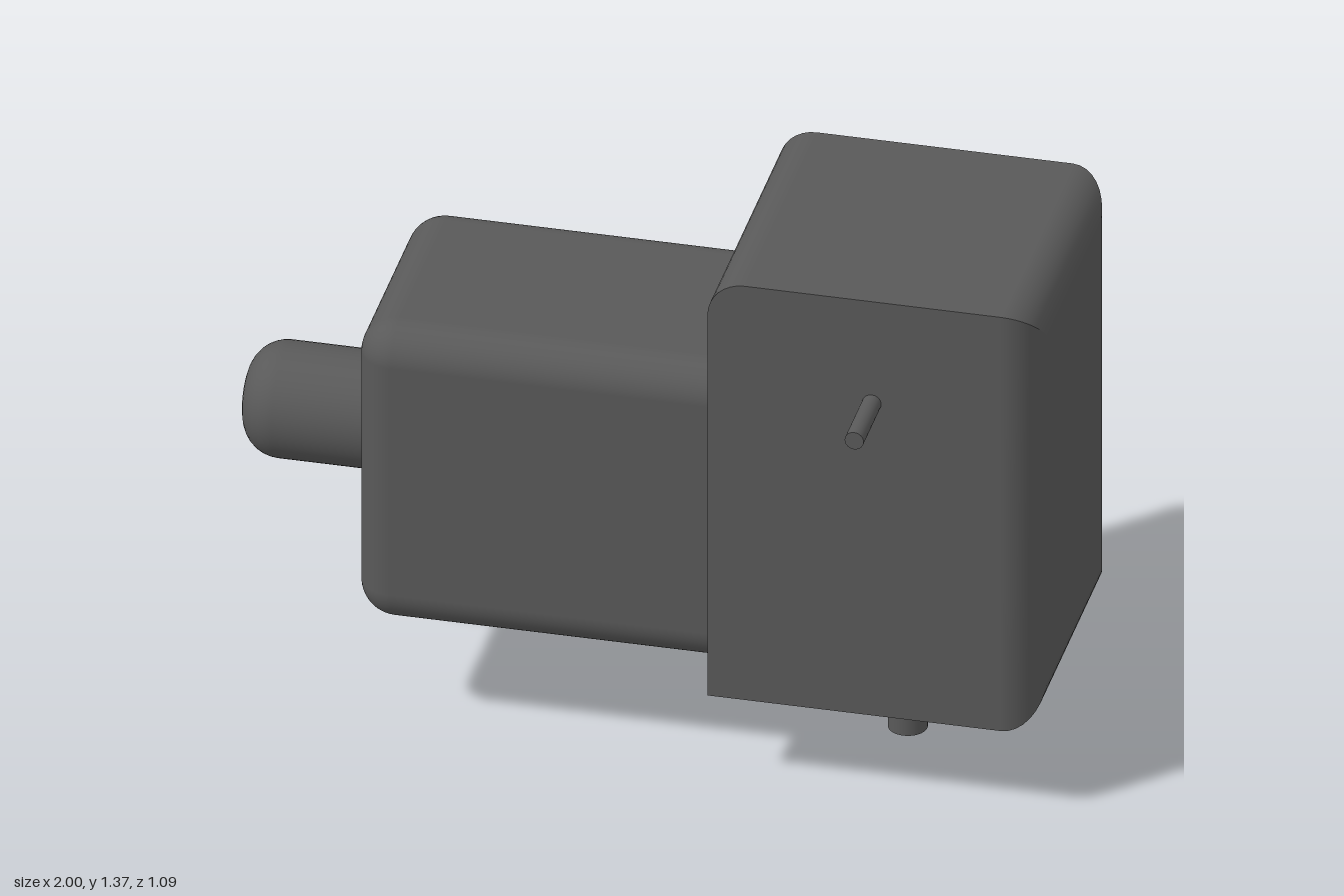
import * as THREE from 'three';
import { RoundedBoxGeometry } from 'three/addons/geometries/RoundedBoxGeometry.js';

const R = 0.09; // fillet radius shared by all rounded parts
const material = new THREE.MeshStandardMaterial({ color: 0x595959 });

function part(name, geometry, x = 0, y = 0, z = 0) {
  const mesh = new THREE.Mesh(geometry, material);
  mesh.name = name;
  mesh.position.set(x, y, z);
  return mesh;
}

// Box whose +x face is filleted with mitred corners, plus a filleted top edge at -x
function headGeometry(x0, x1, height, depth) {
  const steps = 8, rings = 2 * steps + 1;
  const geo = new THREE.BoxGeometry(1, height, depth, rings, 1, 1);
  const p = geo.attributes.position;
  for (let k = 0; k < p.count; k++) {
    const i = Math.round((p.getX(k) + 0.5) * rings);
    let y = p.getY(k), z = p.getZ(k), x;
    if (i <= steps) {
      const a = (i / steps) * Math.PI / 2;
      x = x0 + R * (1 - Math.cos(a));
      if (y > 0) y -= R * (1 - Math.sin(a));
    } else {
      const a = ((i - steps - 1) / steps) * Math.PI / 2;
      const inset = R * (1 - Math.cos(a));
      x = x1 - R + R * Math.sin(a);
      y -= Math.sign(y) * inset;
      z -= Math.sign(z) * inset;
    }
    p.setXYZ(k, x, y, z);
  }
  geo.computeVertexNormals();
  return geo;
}

// Rounded box cut off flat at its +x end
function bodyGeometry(x0, x1, height, depth) {
  const length = x1 + R - x0;
  const geo = new RoundedBoxGeometry(length, height, depth, 6, R);
  geo.translate(x0 + length / 2, 0, 0);
  const p = geo.attributes.position;
  for (let k = 0; k < p.count; k++) p.setX(k, Math.min(p.getX(k), x1));
  return geo;
}

// Round-ended knob, profile running from its base to its tip
function knobGeometry(radius, length) {
  const profile = [new THREE.Vector2(radius, 0)];
  for (let i = 0; i <= 8; i++) {
    const a = (i / 8) * Math.PI / 2;
    profile.push(new THREE.Vector2(radius - R + R * Math.cos(a), length - R + R * Math.sin(a)));
  }
  profile.push(new THREE.Vector2(0, length));
  return new THREE.LatheGeometry(profile, 48);
}

export function createModel() {
  const group = new THREE.Group();
  group.name = 'model';

  group.add(part('head', headGeometry(0.2, 1, 1.132, 0.732), 0, 0.805, 0));
  group.add(part('body', bodyGeometry(-0.668, 0.2, 0.8, 0.64), 0, 0.688, 0));

  const knob = part('endKnob', knobGeometry(0.141, 0.332), -0.668, 0.688, 0);
  knob.rotation.z = Math.PI / 2;
  group.add(knob);

  group.add(part('bottomShaft', new THREE.CylinderGeometry(0.047, 0.047, 0.24, 32), 0.598, 0.12, 0));

  // Thin pins on both sides of the head
  for (const side of [1, -1]) {
    const pin = part(side > 0 ? 'frontPin' : 'backPin',
      new THREE.CylinderGeometry(0.023, 0.023, 0.18, 24), 0.598, 1.093, side * 0.455);
    pin.rotation.x = Math.PI / 2;
    group.add(pin);
  }
  return group;
}
